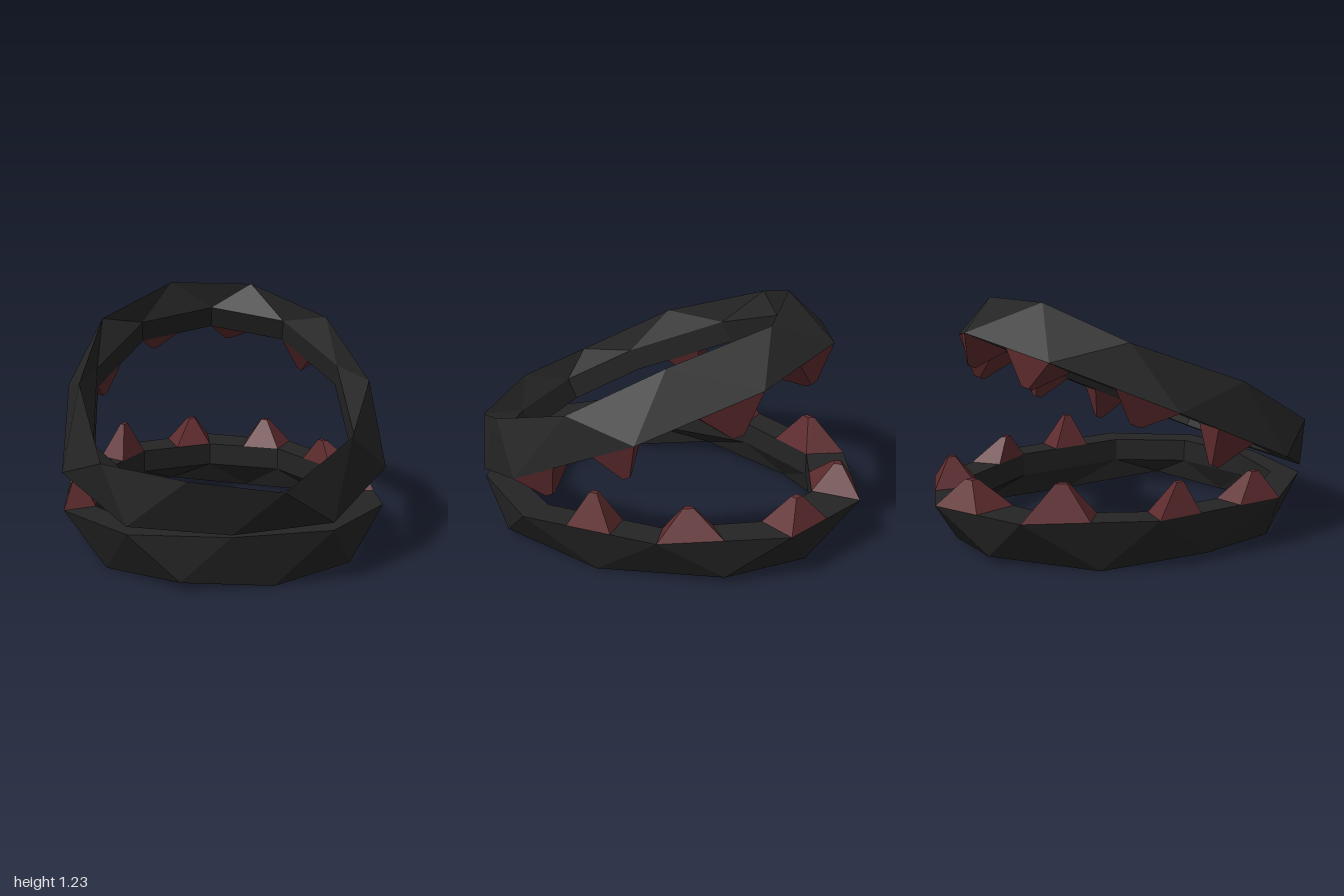
import * as THREE from 'three';

const TILT = 0.433;
const bandMat = new THREE.MeshStandardMaterial({ color: 0x242424, flatShading: true });
const toothMat = new THREE.MeshStandardMaterial({ color: 0x5e2b2e, flatShading: true });

// Ring outlines as [x, z], from the front going round by the left
const mirrorRing = half => [...half, ...half.slice(1, -1).reverse().map(([x, z]) => [-x, z])];
const OUTER = mirrorRing([[0, 0.93], [0.47, 0.86], [0.77, 0.48], [0.765, -0.22], [0.47, -0.79], [0, -1]]);
const INNER = mirrorRing([[0, 0.83], [0.39, 0.74], [0.62, 0.42], [0.615, -0.19], [0.38, -0.61], [0, -0.75]]);
// Lower rim, staggered half a step, alternating in depth
const RIM = [[0.2, 0.86], [0.58, 0.68], [0.69, 0.13], [0.59, -0.5], [0.22, -0.79],
  [-0.22, -0.83], [-0.58, -0.43], [-0.73, 0.08], [-0.57, 0.57], [-0.23, 0.9]];

// Teeth: tip x, height, tip z, ring segment, start and end along the segment
const TEETH = [
  [-0.71, 0.14, 0.36, 7, 0.66, 1],
  [0.69, 0.17, 0.13, 2, 0.33, 0.66],
  [-0.71, 0.155, -0.08, 7, 0, 0.33],
  [0.59, 0.125, -0.31, 3, 0, 0.5],
  [-0.49, 0.17, -0.58, 6, 0, 0.5],
  [0.32, 0.14, -0.76, 4, 0, 0.5],
  [-0.1, 0.135, -0.85, 5, 0, 0.5],
];

const at = (ring, y) => ring.map(([x, z]) => new THREE.Vector3(x, y, z));

function facetMesh(name, triangles, material) {
  const geometry = new THREE.BufferGeometry().setFromPoints(triangles);
  geometry.computeVertexNormals();
  const mesh = new THREE.Mesh(geometry, material);
  mesh.name = name;
  return mesh;
}

// Band with a flat face at y = 0, a short inner wall and a faceted outer wall
function makeBand() {
  const top = at(OUTER, 0), inTop = at(INNER, 0), inLow = at(INNER, -0.12);
  const rim = RIM.map(([x, z], i) => new THREE.Vector3(x, i % 2 ? -0.22 : -0.26, z));
  const tris = [];
  const quad = (a, b, c, d) => tris.push(a, b, c, a, c, d);
  for (let i = 0; i < top.length; i++) {
    const j = (i + 1) % top.length;
    quad(top[i], top[j], inTop[j], inTop[i]);
    quad(inTop[i], inTop[j], inLow[j], inLow[i]);
    tris.push(top[i], rim[i], top[j], top[j], rim[i], rim[j]);
    tris.push(rim[i], inLow[i], inLow[j], rim[i], inLow[j], rim[j]);
  }
  return facetMesh('band', tris, bandMat);
}

// Blunt four-sided tooth that fills the width of the flat face
function makeTooth([x, h, z, seg, f0, f1]) {
  const outer = at(OUTER, 0), inner = at(INNER, 0), next = (seg + 1) % OUTER.length;
  const along = (ring, f) => ring[seg].clone().lerp(ring[next], f);
  const base = [along(outer, f0), along(outer, f1), along(inner, f1), along(inner, f0)];
  const centre = new THREE.Vector3();
  base.forEach(p => centre.addScaledVector(p, 0.25));
  const tip = base.map(p => p.clone().sub(centre).multiplyScalar(0.17).add(new THREE.Vector3(x, h, z)));
  const tris = [tip[0], tip[1], tip[2], tip[0], tip[2], tip[3]];
  for (let i = 0; i < 4; i++) {
    const j = (i + 1) % 4;
    tris.push(base[i], base[j], tip[j], base[i], tip[j], tip[i]);
  }
  return facetMesh('tooth', tris, toothMat);
}

function makeJaw(name) {
  const jaw = new THREE.Group();
  jaw.name = name;
  jaw.add(makeBand(), ...TEETH.map(makeTooth));
  return jaw;
}

export function createModel() {
  const model = new THREE.Group();
  model.name = 'jawTrap';

  const lower = makeJaw('lowerJaw');
  lower.position.y = 0.26;

  // The upper jaw is the same part turned over and opened about the front
  const hinge = new THREE.Group();
  hinge.name = 'upperJawHinge';
  hinge.position.set(0, 0.27, 0.93);
  hinge.rotation.x = TILT;
  const upper = makeJaw('upperJaw');
  upper.rotation.z = Math.PI;
  upper.position.z = -0.93;
  hinge.add(upper);

  model.add(lower, hinge);
  return model;
}
